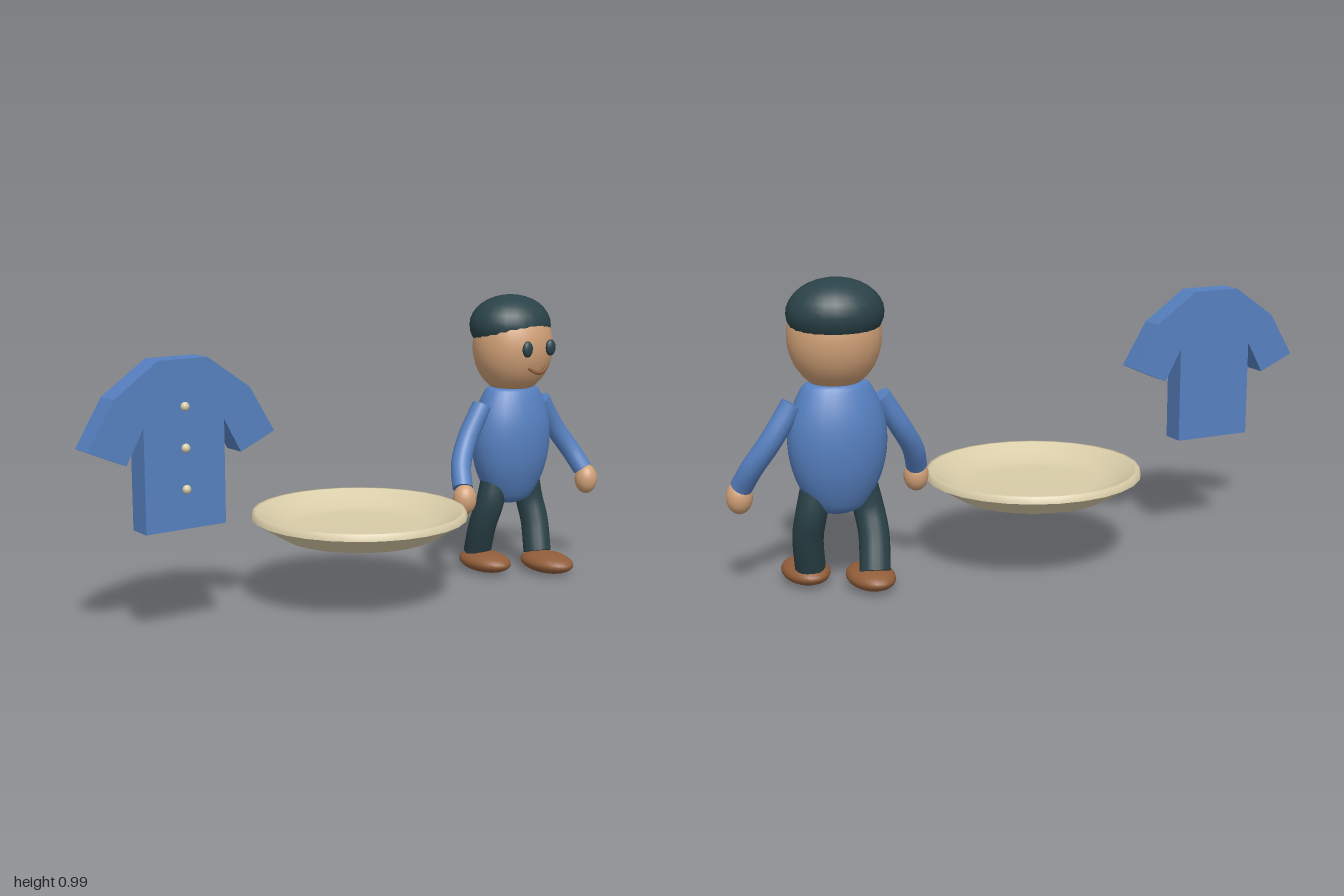
import * as THREE from 'three';

const paint = (name, color, side = THREE.FrontSide) => {
  const m = new THREE.MeshStandardMaterial({ color, side });
  m.name = name;
  return m;
};

export function createModel() {
  const blue = paint('shirt blue', 0x5680c0);
  const skin = paint('skin tan', 0xd0a077);
  const dark = paint('dark teal', 0x2a4248);
  const brown = paint('shoe brown', 0x915d3a);
  const cream = paint('cream', 0xd8cca8);

  const root = new THREE.Group();
  root.name = 'figureWithPlateAndShirt';

  const group = (name, x, y, z) => {
    const g = new THREE.Group();
    g.name = name;
    g.position.set(x, y, z);
    root.add(g);
    return g;
  };
  const add = (parent, name, geo, mat, pos = [0, 0, 0]) => {
    const m = new THREE.Mesh(geo, mat);
    m.name = name;
    m.position.set(...pos);
    parent.add(m);
    return m;
  };
  const ball = (parent, name, mat, pos, radii, w = 24, h = 16) =>
    add(parent, name, new THREE.SphereGeometry(1, w, h).scale(...radii), mat, pos);

  // Bent tube with flat end discs
  const limb = (parent, name, mat, points, radius) => {
    const curve = new THREE.CatmullRomCurve3(points.map(p => new THREE.Vector3(...p)));
    const g = new THREE.Group();
    g.name = name;
    parent.add(g);
    add(g, name + 'Tube', new THREE.TubeGeometry(curve, 16, radius, 16), mat);
    for (const t of [0, 1]) {
      const end = curve.getPoint(t);
      const dir = curve.getTangent(t).multiplyScalar(t ? 1 : -1);
      const disc = add(g, name + 'End', new THREE.CircleGeometry(radius, 16), mat, end.toArray());
      disc.quaternion.setFromUnitVectors(new THREE.Vector3(0, 0, 1), dir);
    }
  };

  // Flat shirt with three buttons
  const shirt = group('shirt', -0.683, 0, -0.005);
  const half = [[0.083, 0.868], [0.23, 0.766], [0.317, 0.622], [0.195, 0.569], [0.137, 0.675], [0.137, 0.355]];
  const outline = [...half, ...half.map(([x, y]) => [-x, y]).reverse()];
  const shirtShape = new THREE.Shape(outline.map(([x, y]) => new THREE.Vector2(x, y)));
  add(shirt, 'shirtCloth', new THREE.ExtrudeGeometry(shirtShape, { depth: 0.08, bevelEnabled: false }), blue, [0, 0, -0.04]);
  for (const y of [0.727, 0.602, 0.477]) ball(shirt, 'button', cream, [0, y, 0.045], [0.014, 0.014, 0.012], 12, 8);

  // Plate: outside and rim, then the hollow inside
  const plate = group('plate', -0.01, 0, 0);
  const lathe = (pts, n) => new THREE.LatheGeometry(pts.map(p => new THREE.Vector2(...p)), n);
  add(plate, 'plateBase', new THREE.CircleGeometry(0.257, 28).rotateX(Math.PI / 2), cream, [0, 0.234, 0]);
  add(plate, 'plateOutside', lathe([[0.257, 0.234], [0.357, 0.295]], 28), cream);
  add(plate, 'plateRim', lathe([[0.357, 0.295], [0.352, 0.316], [0.34, 0.316]], 28), cream);
  add(plate, 'plateInside', lathe([[0.34, 0.316], [0.3, 0.292], [0.25, 0.268], [0.2, 0.262], [0, 0.26]], 28), cream);

  const person = group('person', 0.662, 0, 0);

  // Torso, oval in plan
  const torso = new THREE.SplineCurve([[0, 0.25], [0.045, 0.258], [0.09, 0.285], [0.138, 0.375], [0.157, 0.475],
    [0.147, 0.57], [0.11, 0.655], [0.085, 0.67]].map(p => new THREE.Vector2(...p))).getPoints(24);
  torso[0].x = 0;
  torso.push(new THREE.Vector2(0, 0.672));
  add(person, 'torso', new THREE.LatheGeometry(torso, 24).scale(1, 1, 0.725), blue);

  // Head, cap and face
  ball(person, 'head', skin, [0, 0.812, 0], [0.146, 0.167, 0.135]);
  ball(person, 'cap', dark, [0, 0.886, -0.015], [0.15, 0.106, 0.134]);
  const smile = new THREE.QuadraticBezierCurve3(
    new THREE.Vector3(-0.042, 0.75, 0.126), new THREE.Vector3(0, 0.711, 0.15), new THREE.Vector3(0.042, 0.75, 0.126));
  add(person, 'mouth', new THREE.TubeGeometry(smile, 12, 0.006, 8), brown);

  for (const s of [-1, 1]) {
    const side = s > 0 ? 'left' : 'right';
    ball(person, side + 'Eye', dark, [s * 0.054, 0.815, 0.134], [0.021, 0.028, 0.013], 16, 12);

    // Arms reach out and forward
    limb(person, side + 'Arm', blue,
      [[s * 0.14, 0.612, 0], [s * 0.212, 0.5, 0.006], [s * 0.262, 0.42, 0.035], [s * 0.288, 0.352, 0.075]], 0.035);
    ball(person, side + 'Hand', skin, [s * 0.292, 0.315, 0.09], [0.041, 0.053, 0.04]);

    // Legs mid-stride: left foot forward, right foot back
    const z = s > 0 ? [0.002, 0.026, 0.06] : [-0.004, -0.032, -0.075];
    limb(person, side + 'Leg', dark,
      [[s * 0.075, 0.337, 0], [s * 0.092, 0.26, z[0]], [s * 0.098, 0.18, z[1]], [s * 0.084, 0.07, z[2]]], 0.049);
    ball(person, side + 'Shoe', brown, [s * 0.084, 0.041, s > 0 ? 0.11 : -0.033], [0.074, 0.037, 0.112]);
  }
  return root;
}
